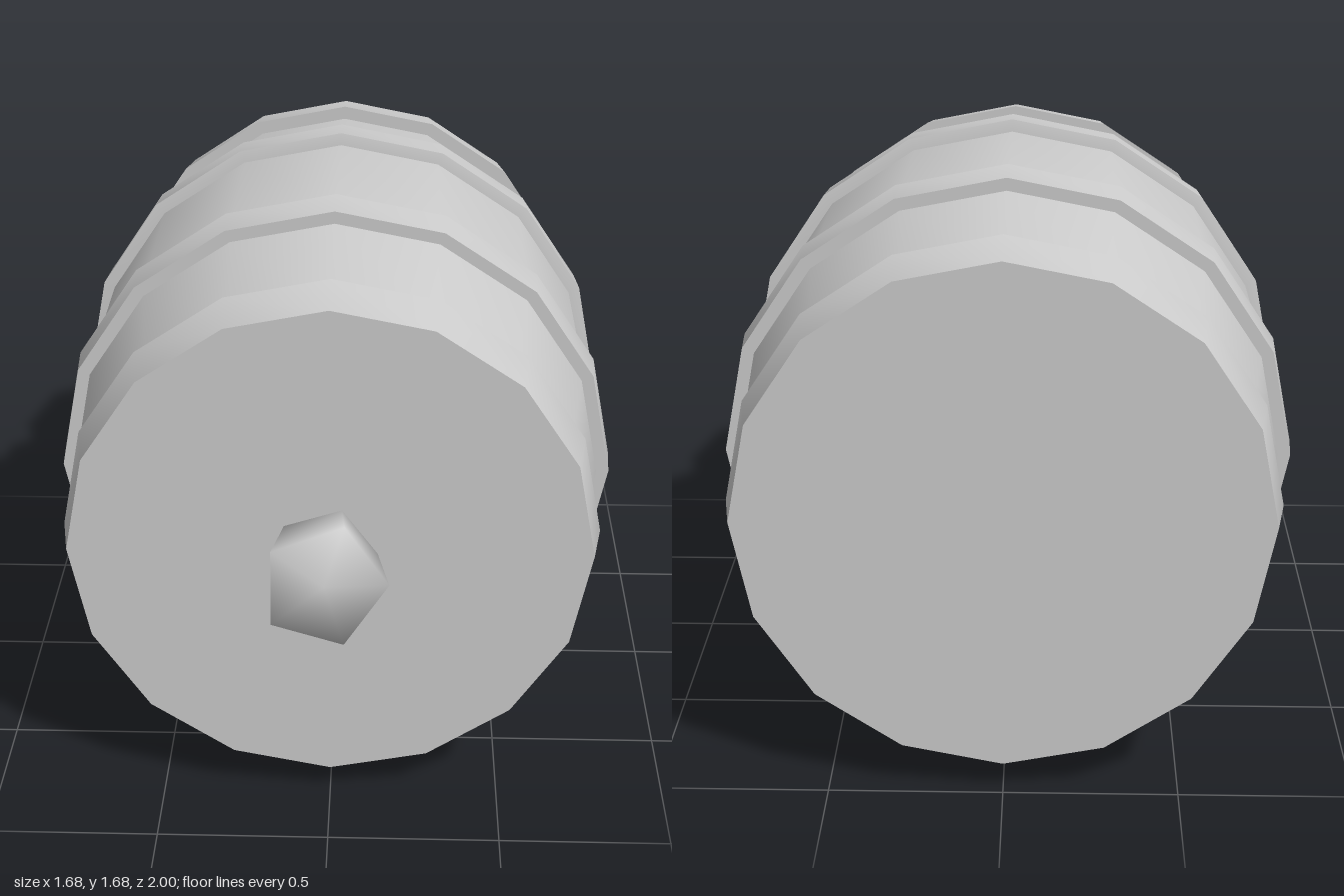
import * as THREE from 'three';
import { toCreasedNormals, mergeVertices } from 'three/addons/utils/BufferGeometryUtils.js';

const SIDES = 16;
const AXIS_Y = 0.847;
const MID_Z = -0.105;

export function createModel() {
  const group = new THREE.Group();
  const material = new THREE.MeshStandardMaterial({ color: 0xcccccc });

  // Turned part around the z axis; profile is [radius, distance from the middle], back to front
  const turned = (name, profile) => {
    let geo = new THREE.LatheGeometry(profile.map(([r, d]) => new THREE.Vector2(r, d)), SIDES);
    geo = toCreasedNormals(geo.rotateX(Math.PI / 2), 0.5);
    const mesh = new THREE.Mesh(geo, material);
    mesh.name = name;
    mesh.position.set(0, AXIS_Y, MID_Z);
    group.add(mesh);
  };
  const mirrored = (profile) => profile.map(([r, d]) => [r, -d]).reverse();

  // Barrel wall, tapering towards both ends
  turned('barrelWall', [[0.73, -0.76], [0.795, -0.385], [0.805, -0.27], [0.805, 0.27], [0.795, 0.385], [0.73, 0.76]]);

  // Bands around the belly
  const band = [[0.79, 0.264], [0.805, 0.264], [0.842, 0.272], [0.832, 0.387], [0.78, 0.387]];
  turned('frontBand', band);
  turned('backBand', mirrored(band));

  // End hoops with the flat barrel heads
  const end = [[0.72, 0.745], [0.775, 0.745], [0.747, 0.895], [0, 0.895]];
  turned('frontEnd', end);
  turned('backEnd', mirrored(end));

  // Five-sided flaring plug with a slanted, softly shaded face
  let plug = new THREE.CylinderGeometry(0.18, 0.145, 0.2, 5, 1);
  plug.rotateX(Math.PI / 2).rotateZ(Math.PI / 2);
  const pos = plug.attributes.position;
  for (let i = 0; i < pos.count; i++) {
    const x = pos.getX(i), y = pos.getY(i);
    const outer = pos.getZ(i) > 0;
    pos.setXYZ(i, x - 0.01, y, outer ? 0.973 - 0.08 * x - 0.165 * y : 0.785);
  }
  plug.deleteAttribute('normal');
  plug.deleteAttribute('uv');
  plug = mergeVertices(plug, 1e-4);
  plug.computeVertexNormals();
  const plugMesh = new THREE.Mesh(plug, material);
  plugMesh.name = 'plug';
  plugMesh.position.y = AXIS_Y;
  group.add(plugMesh);

  return group;
}
